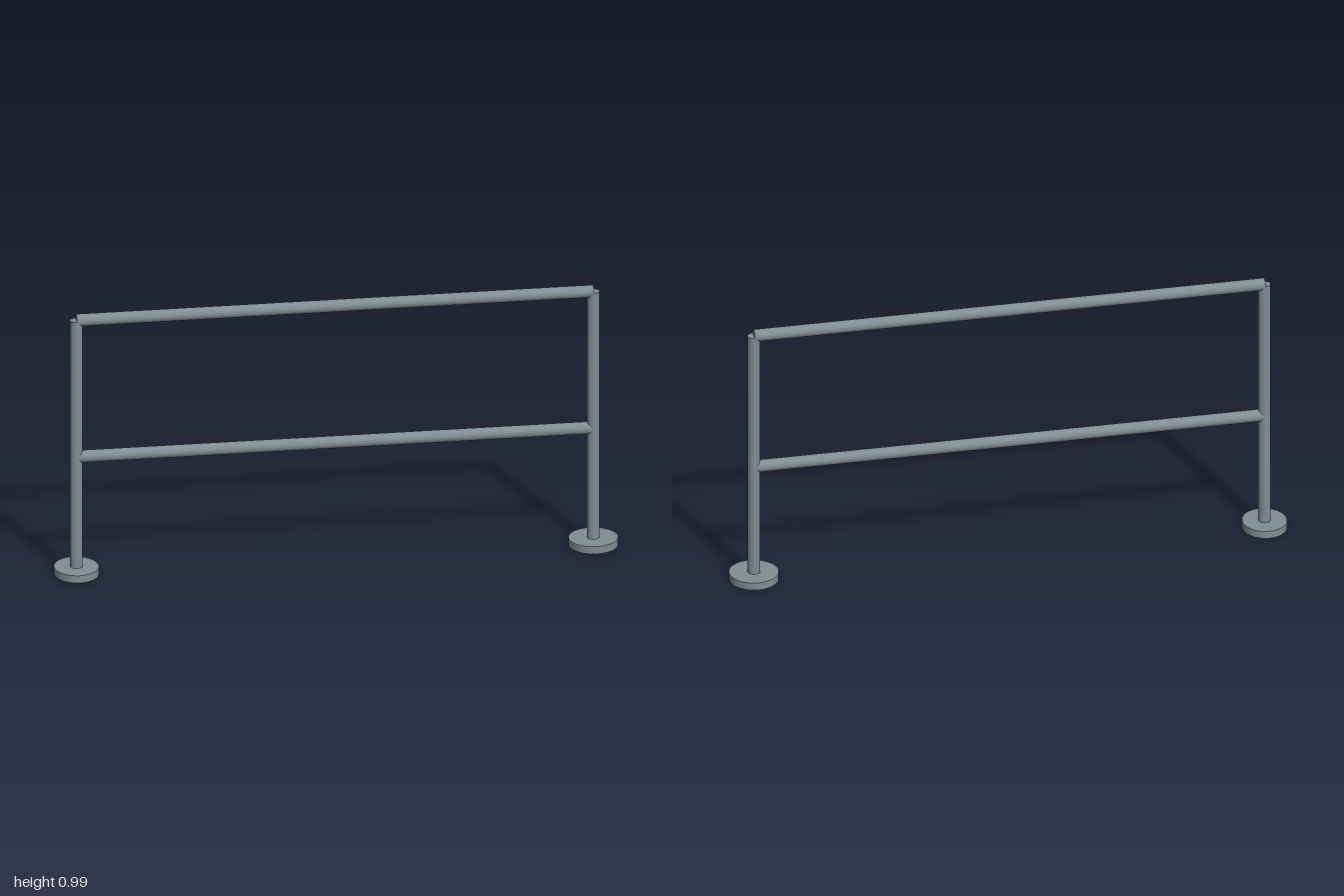
import * as THREE from 'three';

const LEFT = 0.911, RIGHT = -0.921;      // post centre lines
const TUBE = 0.022, TOP = 0.964, MID = 0.445, FOOT = 0.028;

export function createModel() {
  const model = new THREE.Group();
  model.name = 'railing';
  const steel = new THREE.MeshStandardMaterial({ color: 0x7f8d94 });
  steel.name = 'grey steel';

  const add = (name, geometry, x, y) => {
    const mesh = new THREE.Mesh(geometry, steel);
    mesh.name = name;
    mesh.position.set(x, y, 0);
    model.add(mesh);
    return mesh;
  };

  // Upright posts on round floor flanges; the right flange is slightly narrower
  for (const [side, x, halfWidth] of [['left', LEFT, 0.0875], ['right', RIGHT, 0.079]]) {
    add(side + 'Post', new THREE.CylinderGeometry(TUBE, TUBE, TOP, 32), x, TOP / 2);
    const flange = new THREE.CylinderGeometry(0.0875, 0.0875, FOOT, 48);
    flange.scale(halfWidth / 0.0875, 1, 1);
    add(side + 'Flange', flange, x, FOOT / 2);
  }

  // Horizontal rails running between the post centres
  for (const [name, y] of [['topRail', TOP], ['middleRail', MID]]) {
    const rail = new THREE.CylinderGeometry(TUBE, TUBE, LEFT - RIGHT, 32);
    rail.rotateZ(Math.PI / 2);
    add(name, rail, (LEFT + RIGHT) / 2, y);
  }
  return model;
}
